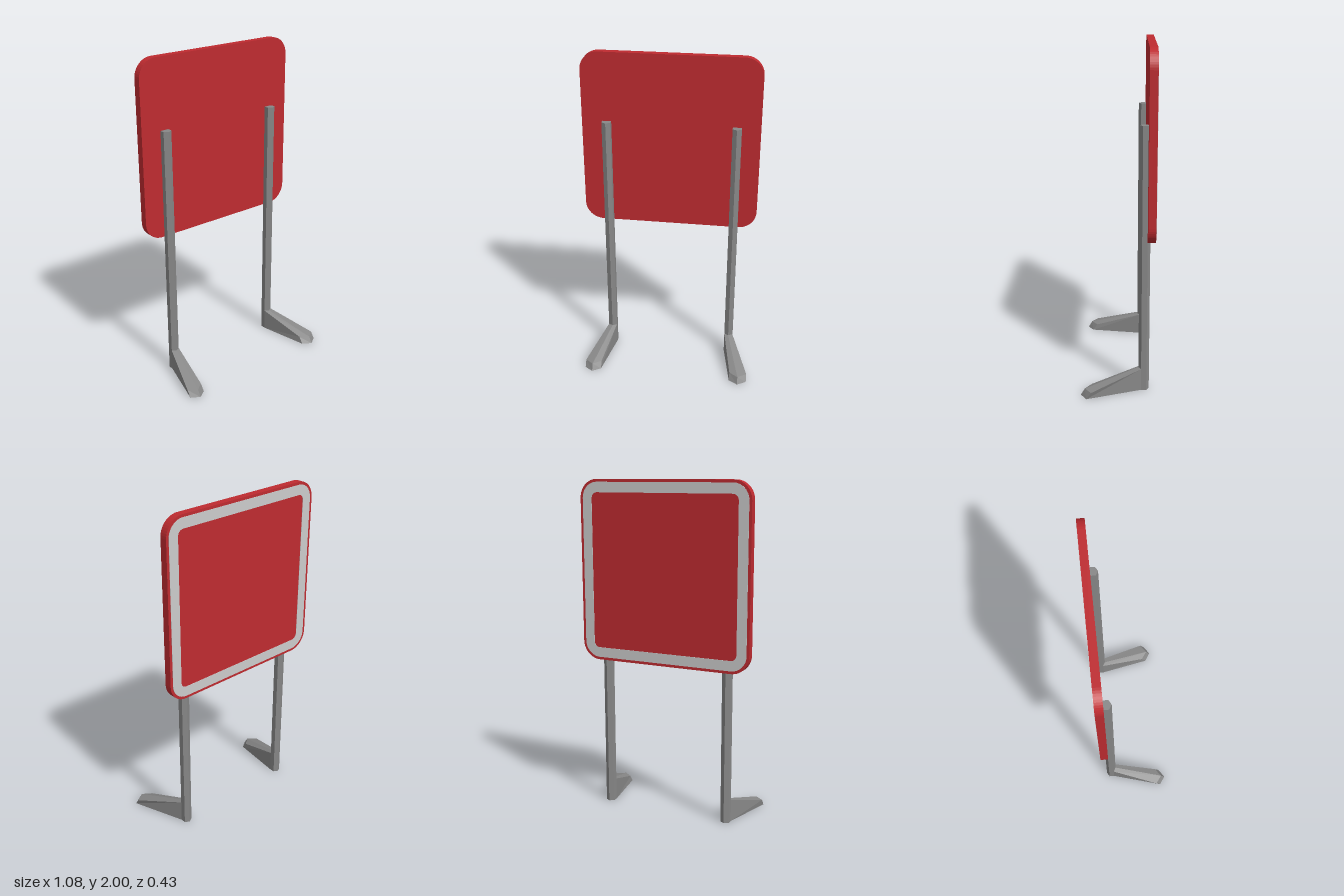
import * as THREE from 'three';

const red = new THREE.MeshStandardMaterial({ color: 0xbe2b30 });
const trimGrey = new THREE.MeshStandardMaterial({ color: 0xcccccc });
const steel = new THREE.MeshStandardMaterial({ color: 0x888888, flatShading: true });

const POST_R = 0.031, POST_Z = -0.154, POST_H = 1.58;

// Square outline with rounded corners, centred on the origin
function roundedSquare(half, r, PathType = THREE.Shape) {
  const p = new PathType(), c = half - r;
  p.absarc(c, c, r, 0, Math.PI / 2);
  p.absarc(-c, c, r, Math.PI / 2, Math.PI);
  p.absarc(-c, -c, r, Math.PI, Math.PI * 1.5);
  p.absarc(c, -c, r, Math.PI * 1.5, Math.PI * 2);
  p.closePath();
  return p;
}

function slab(name, shape, depth, z, material) {
  const geo = new THREE.ExtrudeGeometry(shape, { depth, bevelEnabled: false, curveSegments: 6 });
  const mesh = new THREE.Mesh(geo, material);
  mesh.name = name;
  mesh.position.set(0, 1.462, z);
  return mesh;
}

// Foot: wedge lofted from the front of the hexagonal post to a pointed toe
function footGeometry(postX, toeX, toeHalf) {
  const w = POST_R * Math.sin(Math.PI / 3), zs = POST_Z + POST_R / 2, zf = POST_Z + POST_R;
  // Each section: outer top, ridge top, inner top, inner bottom, middle bottom, outer bottom
  const section = (x, half, top, zSideTop, zMidTop, zSideLow, zMidLow) => [
    [x - half, top, zSideTop], [x, top, zMidTop], [x + half, top, zSideTop],
    [x + half, 0, zSideLow], [x, 0, zMidLow], [x - half, 0, zSideLow],
  ];
  const a = section(postX, w, 0.135, zs, zf, zs, zf);
  const b = section(toeX, toeHalf, 0.04, 0.152, 0.19, 0.18, 0.214);
  const pos = [];
  const quad = (p, q, r, s) => pos.push(...p, ...q, ...r, ...p, ...r, ...s);
  for (let i = 0; i < 6; i++) {
    const j = (i + 1) % 6;
    quad(a[i], b[i], b[j], a[j]);
  }
  // Toe faces
  quad(b[0], b[5], b[4], b[1]);
  quad(b[1], b[4], b[3], b[2]);
  const geo = new THREE.BufferGeometry();
  geo.setAttribute('position', new THREE.Float32BufferAttribute(pos, 3));
  geo.computeVertexNormals();
  return geo;
}

export function createModel() {
  const model = new THREE.Group();
  model.name = 'signBoard';

  // Board and the pale border on its back face
  model.add(slab('board', roundedSquare(0.538, 0.11), 0.045, -0.214, red));
  const border = roundedSquare(0.522, 0.095);
  border.holes.push(roundedSquare(0.462, 0.035, THREE.Path));
  model.add(slab('backBorder', border, 0.003, -0.216, trimGrey));

  // Two hexagonal posts with splayed feet
  const legs = [
    { name: 'rightLeg', x: -0.385, toe: -0.454, half: 0.051 },
    { name: 'leftLeg', x: 0.399, toe: 0.486, half: 0.054 },
  ];
  for (const { name, x, toe, half } of legs) {
    const leg = new THREE.Group();
    leg.name = name;
    const post = new THREE.Mesh(new THREE.CylinderGeometry(POST_R, POST_R, POST_H, 6), steel);
    post.name = 'post';
    post.position.set(x, POST_H / 2, POST_Z);
    const foot = new THREE.Mesh(footGeometry(x, toe, half), steel);
    foot.name = 'foot';
    leg.add(post, foot);
    model.add(leg);
  }
  return model;
}
